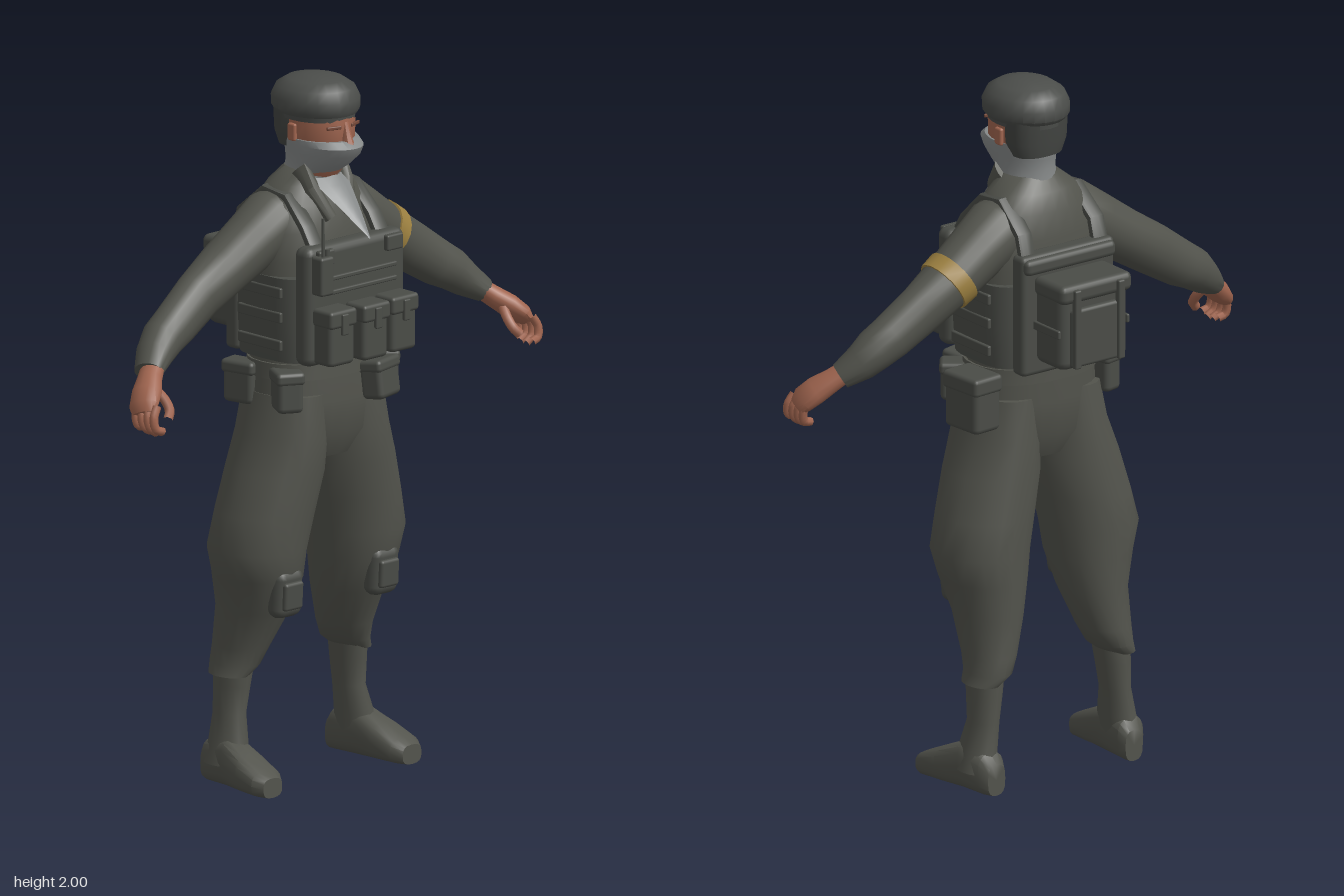
import * as THREE from 'three';
import { toCreasedNormals } from 'three/addons/utils/BufferGeometryUtils.js';
import { RoundedBoxGeometry } from 'three/addons/geometries/RoundedBoxGeometry.js';

const mat = (name, color, side = THREE.FrontSide) => {
  const m = new THREE.MeshStandardMaterial({ color, side });
  m.name = name;
  return m;
};
const V = (x, y, z) => new THREE.Vector3(x, y, z);
const X = V(1, 0, 0), Y = V(0, 1, 0), Z = V(0, 0, 1), BACK = V(0, 0, -1);

// Skin over cross-sections [x, y, z, ru, rv]; v is the second ring axis, w the
// ring normal (the path tangent when left out), p the squareness of the ring.
function loft(sections, { v = BACK, w = null, p = 2, n = 20, crease = 0.7 } = {}) {
  const pos = [], idx = [], c = sections.map((s) => V(s[0], s[1], s[2])), last = c.length - 1;
  sections.forEach((s, i) => {
    const t = w || c[Math.min(i + 1, last)].clone().sub(c[Math.max(i - 1, 0)]).normalize();
    const u = v.clone().cross(t).normalize();
    const vv = t.clone().cross(u);
    for (let k = 0; k < n; k++) {
      const a = (k / n) * Math.PI * 2, ca = Math.cos(a), sa = Math.sin(a);
      const q = c[i].clone()
        .addScaledVector(u, s[3] * Math.sign(ca) * Math.abs(ca) ** (2 / p))
        .addScaledVector(vv, s[4] * Math.sign(sa) * Math.abs(sa) ** (2 / p));
      pos.push(q.x, q.y, q.z);
    }
  });
  for (let i = 0; i < last; i++) for (let k = 0; k < n; k++) {
    const a = i * n + k, b = i * n + (k + 1) % n;
    idx.push(a, b, b + n, a, b + n, a + n);
  }
  const base = pos.length / 3;
  pos.push(...c[0].toArray(), ...c[last].toArray());
  for (let k = 0; k < n; k++) {
    const k2 = (k + 1) % n;
    idx.push(base, k2, k, base + 1, last * n + k, last * n + k2);
  }
  const g = new THREE.BufferGeometry();
  g.setAttribute('position', new THREE.Float32BufferAttribute(pos, 3));
  g.setIndex(idx);
  return toCreasedNormals(g, crease);
}

const tube = (pts, r, seg = 10) =>
  new THREE.TubeGeometry(new THREE.CatmullRomCurve3(pts.map((q) => V(...q))), seg, r, 7, false);

// Reflected copy with the corner order turned round
function mirrored(geo) {
  const g = geo.index ? geo.toNonIndexed() : geo.clone();
  g.scale(-1, 1, 1);
  for (const a of [g.attributes.position, g.attributes.normal]) {
    for (let i = 0; i < a.count; i += 3) for (let c = 0; c < 3; c++) {
      const t = a.getComponent(i + 1, c);
      a.setComponent(i + 1, c, a.getComponent(i + 2, c));
      a.setComponent(i + 2, c, t);
    }
  }
  return g;
}

export function createModel() {
  const root = new THREE.Group();
  root.name = 'fieldSoldier';
  const cloth = mat('greyGreenCloth', 0x52534c);
  const gear = mat('darkGear', 0x4a4c47);
  const felt = mat('beretFelt', 0x4b4d4a);
  const skin = mat('skin', 0xa0654f);
  const scarf = mat('greyScarf', 0x868989, THREE.DoubleSide);
  const gold = mat('ochreBand', 0x9c8040);
  const hair = mat('darkHair', 0x434542);
  const brow = mat('brow', 0x744838);

  const add = (name, geo, m) => {
    const mesh = new THREE.Mesh(geo, m);
    mesh.name = name;
    root.add(mesh);
    return mesh;
  };
  const pair = (name, geo, m) => {
    add(name + 'Left', geo, m);
    add(name + 'Right', mirrored(geo), m);
  };
  const block = (w, h, d, x, y, z, r = 0.01, ry = 0, rx = 0) =>
    new RoundedBoxGeometry(w, h, d, 2, Math.min(r, w * 0.45, h * 0.45, d * 0.45))
      .rotateX(rx).rotateY(ry).translate(x, y, z);

  // Jacket and hips
  add('jacket', loft([
    [0, 0.93, 0.03, 0.12, 0.1], [0, 1.0, 0.03, 0.2, 0.135], [0, 1.1, 0.03, 0.2, 0.14],
    [0, 1.2, 0.025, 0.188, 0.135], [0, 1.35, 0.025, 0.195, 0.138], [0, 1.5, 0.02, 0.2, 0.135],
    [0, 1.58, 0.02, 0.195, 0.13], [0, 1.65, 0.015, 0.17, 0.112], [0, 1.7, 0.015, 0.125, 0.09],
    [0, 1.74, 0.025, 0.075, 0.07],
  ], { w: Y, n: 28, p: 2.3 }), cloth);

  // Baggy trousers, tucked in below the knee
  pair('trouserLeg', loft([
    [0.235, 0.31, -0.06, 0.045, 0.065], [0.21, 0.34, -0.06, 0.06, 0.08], [0.197, 0.39, -0.05, 0.073, 0.087],
    [0.18, 0.5, -0.02, 0.092, 0.115], [0.182, 0.6, 0, 0.118, 0.138], [0.188, 0.68, 0.005, 0.137, 0.143],
    [0.165, 0.78, 0.012, 0.135, 0.145], [0.135, 0.9, 0.022, 0.13, 0.147], [0.117, 1.0, 0.028, 0.108, 0.147],
    [0.11, 1.12, 0.03, 0.09, 0.135],
  ], { w: Y }), cloth);

  // Boots: shaft and foot
  pair('bootShaft', loft([
    [0.25, 0.06, -0.06, 0.05, 0.07], [0.24, 0.12, -0.055, 0.046, 0.066], [0.228, 0.2, -0.063, 0.039, 0.054],
    [0.222, 0.28, -0.06, 0.045, 0.06], [0.215, 0.36, -0.055, 0.05, 0.065],
  ], { w: Y, n: 16 }), cloth);
  pair('bootFoot', loft([
    [0.238, 0.045, -0.138, 0.03, 0.045], [0.242, 0.06, -0.115, 0.045, 0.06], [0.248, 0.07, -0.03, 0.048, 0.07],
    [0.258, 0.052, 0.05, 0.057, 0.052], [0.264, 0.036, 0.12, 0.056, 0.036], [0.266, 0.028, 0.15, 0.036, 0.028],
  ], { v: Y, w: Z, p: 2.8, n: 16 }), cloth);

  // Knee pads
  pair('kneePad', block(0.1, 0.14, 0.06, 0.183, 0.565, 0.112, 0.028, 0, 0.06), gear);
  pair('kneePadCap', block(0.07, 0.08, 0.02, 0.183, 0.56, 0.142, 0.012, 0, 0.06), gear);

  // Sleeves with a flared cuff, and the band on the left one
  pair('sleeve', loft([
    [0.06, 1.615, 0.01, 0.08, 0.09], [0.13, 1.595, 0.005, 0.092, 0.095], [0.2, 1.553, 0, 0.084, 0.087],
    [0.3, 1.49, -0.008, 0.076, 0.08], [0.4, 1.428, -0.01, 0.073, 0.063], [0.5, 1.363, 0, 0.066, 0.06],
    [0.55, 1.335, 0.006, 0.06, 0.061], [0.59, 1.302, 0.018, 0.05, 0.055], [0.64, 1.265, 0.045, 0.034, 0.043],
  ], { v: Z, n: 18 }), cloth);
  add('armBand', loft([
    [0.285, 1.5, -0.007, 0.083, 0.087], [0.325, 1.475, -0.008, 0.081, 0.083],
  ], { v: Z, n: 18 }), gold);

  // Hands with curled fingers
  pair('palm', loft([
    [0.615, 1.282, 0.04, 0.027, 0.034], [0.655, 1.25, 0.065, 0.03, 0.037], [0.69, 1.222, 0.09, 0.032, 0.046],
    [0.72, 1.195, 0.11, 0.027, 0.046], [0.733, 1.175, 0.12, 0.014, 0.036],
  ], { v: Z, n: 14 }), skin);
  for (let i = 0; i < 4; i++) {
    const z = 0.085 + i * 0.024, tip = 1.118 + Math.abs(i - 1.6) * 0.008;
    pair('finger' + (i + 1), tube([[0.715, 1.2, z], [0.733, 1.168, z + 0.006],
      [0.728, 1.138, z + 0.01], [0.704, tip, z + 0.012]], 0.0125), skin);
  }
  pair('thumb', tube([[0.665, 1.235, 0.09], [0.652, 1.2, 0.125], [0.655, 1.175, 0.145], [0.672, 1.155, 0.155]], 0.014), skin);

  // Head, face and hair
  add('head', loft([
    [0, 1.7, 0.03, 0.065, 0.065], [0, 1.77, 0.055, 0.075, 0.095], [0, 1.83, 0.057, 0.088, 0.11],
    [0, 1.88, 0.055, 0.09, 0.113], [0, 1.93, 0.05, 0.088, 0.11],
  ], { w: Y }), skin);
  add('nose', loft([[0, 1.815, 0.172, 0.018, 0.025], [0, 1.845, 0.165, 0.013, 0.018],
    [0, 1.885, 0.16, 0.009, 0.008]], { w: Y, n: 8 }), skin);
  pair('eyebrow', block(0.045, 0.01, 0.008, 0.04, 1.872, 0.158, 0.003, 0.32), brow);
  pair('ear', block(0.014, 0.05, 0.03, 0.091, 1.85, 0.045, 0.006), skin);
  add('hair', loft([
    [0, 1.8, -0.005, 0.075, 0.052], [0, 1.84, -0.003, 0.092, 0.06], [0, 1.92, -0.003, 0.095, 0.065],
  ], { w: Y, p: 2.4 }), hair);

  // Beret with a rim
  add('beret', loft([
    [0, 1.9, 0.045, 0.105, 0.124], [0, 1.912, 0.043, 0.115, 0.132], [0, 1.94, 0.043, 0.116, 0.133],
    [0, 1.97, 0.043, 0.103, 0.118], [0, 1.99, 0.043, 0.074, 0.085], [0, 2.0, 0.043, 0.03, 0.035],
  ], { w: Y, n: 24 }), felt);
  add('beretBand', loft([[0, 1.885, 0.047, 0.095, 0.118], [0, 1.908, 0.047, 0.1, 0.12]], { w: Y, n: 24 }), felt);

  // Face scarf with a hanging corner
  add('faceScarf', loft([
    [0, 1.7, 0.025, 0.085, 0.08], [0, 1.73, 0.03, 0.074, 0.083], [0, 1.76, 0.055, 0.078, 0.105],
    [0, 1.79, 0.07, 0.085, 0.124], [0, 1.815, 0.073, 0.091, 0.132], [0, 1.832, 0.063, 0.092, 0.118],
  ], { w: Y, n: 24 }), scarf);
  const tail = new THREE.PlaneGeometry(1, 1, 4, 6);
  const tp = tail.attributes.position;
  for (let i = 0; i < tp.count; i++) {
    const t = 0.5 - tp.getY(i), s = tp.getX(i) * 2;
    tp.setXYZ(i, s * 0.07 * (1 - t * 0.97), 1.725 - 0.155 * t,
      0.11 + 0.15 * t ** 0.85 - 0.035 * Math.abs(s) * (1 - t));
  }
  tail.computeVertexNormals();
  add('scarfTail', tail, scarf);
  pair('collarFlap', loft([[0.07, 1.74, 0.05, 0.02, 0.04], [0.065, 1.69, 0.09, 0.025, 0.03],
    [0.035, 1.61, 0.14, 0.02, 0.015]], { v: Z, n: 10 }), cloth);

  // Vest: side wrap, front and back panels, shoulder straps
  add('vestWrap', loft([[0, 1.22, 0.03, 0.192, 0.155], [0, 1.34, 0.03, 0.202, 0.155],
    [0, 1.46, 0.03, 0.2, 0.15]], { w: Y, p: 3.4, n: 32 }), gear);
  add('frontPanel', block(0.375, 0.34, 0.065, 0, 1.39, 0.178, 0.025), gear);
  add('backPanel', block(0.32, 0.35, 0.055, 0, 1.385, -0.128, 0.015), gear);
  pair('shoulderStrap', loft([
    [0.125, 1.52, 0.19, 0.012, 0.025], [0.125, 1.6, 0.14, 0.012, 0.025], [0.12, 1.675, 0.065, 0.012, 0.025],
    [0.12, 1.685, -0.02, 0.012, 0.025], [0.125, 1.61, -0.11, 0.012, 0.025], [0.125, 1.5, -0.14, 0.012, 0.025],
  ], { v: X, p: 4, n: 12 }), gear);
  pair('strapBuckle', block(0.06, 0.045, 0.02, 0.13, 1.53, 0.217, 0.006), gear);
  for (const y of [1.425, 1.465]) add('webbingStrip', block(0.27, 0.013, 0.012, 0.01, y, 0.212, 0.004), gear);
  for (const y of [1.27, 1.35, 1.42]) pair('sideStrap', block(0.012, 0.03, 0.17, 0.199, y, 0.03, 0.004), gear);

  // Three magazine pouches with flaps and clips
  for (const x of [-0.118, 0, 0.118]) {
    const z = x ? 0 : 0.01;
    add('magazinePouch', block(0.095, 0.15, 0.075, x, 1.305, 0.238 + z, 0.014), gear);
    add('pouchFlap', block(0.102, 0.05, 0.08, x, 1.365, 0.242 + z, 0.01), gear);
    add('pouchClip', block(0.024, 0.06, 0.012, x, 1.35, 0.283 + z, 0.004), gear);
  }

  // Radio with antenna
  add('radio', block(0.05, 0.11, 0.045, -0.15, 1.485, 0.228, 0.008), gear);
  add('radioKnob', new THREE.CylinderGeometry(0.008, 0.008, 0.02, 10).translate(-0.137, 1.548, 0.232), gear);
  add('antenna', new THREE.CylinderGeometry(0.004, 0.005, 0.12, 8).translate(-0.155, 1.59, 0.235), gear);

  // Backpack: body, lid, outer panel and straps
  add('packBody', block(0.235, 0.24, 0.13, 0, 1.37, -0.21, 0.025), gear);
  add('packLid', block(0.245, 0.055, 0.14, 0, 1.475, -0.218, 0.018), gear);
  add('packPocket', block(0.175, 0.17, 0.03, 0, 1.345, -0.275, 0.01), gear);
  add('packTopRoll', block(0.31, 0.045, 0.06, 0, 1.53, -0.14, 0.015), gear);
  pair('packStrap', block(0.022, 0.23, 0.02, 0.075, 1.375, -0.29, 0.005), gear);
  pair('packSideStrap', block(0.01, 0.025, 0.12, 0.119, 1.36, -0.21, 0.004), gear);

  // Belt with pouches
  add('belt', loft([[0, 1.165, 0.028, 0.198, 0.146], [0, 1.21, 0.027, 0.195, 0.144]], { w: Y, n: 28, p: 2.3 }), cloth);
  const pouch = (name, w, h, d, x, y, z, ry, rx = 0) => {
    const g = new THREE.Group();
    g.name = name;
    g.position.set(x, y, z);
    g.rotation.set(rx, ry, 0, 'YXZ');
    g.add(new THREE.Mesh(block(w, h, d, 0, 0, 0, 0.016), gear),
      new THREE.Mesh(block(w + 0.008, h * 0.32, d + 0.008, 0, h * 0.36, 0, 0.012), gear));
    root.add(g);
  };
  pouch('frontBeltPouch', 0.105, 0.11, 0.07, 0.11, 1.14, 0.185, 0.25, -0.12);
  pouch('cornerBeltPouch', 0.07, 0.11, 0.08, 0.19, 1.14, 0.115, 0.9);
  pouch('hipPouchLeft', 0.095, 0.16, 0.135, 0.24, 1.13, -0.03, 0.08);
  pouch('hipPouchRight', 0.075, 0.115, 0.09, -0.178, 1.14, 0.115, -0.5);
  pouch('rearPouchRight', 0.06, 0.12, 0.1, -0.19, 1.14, -0.05, 0.2);

  return root;
}
